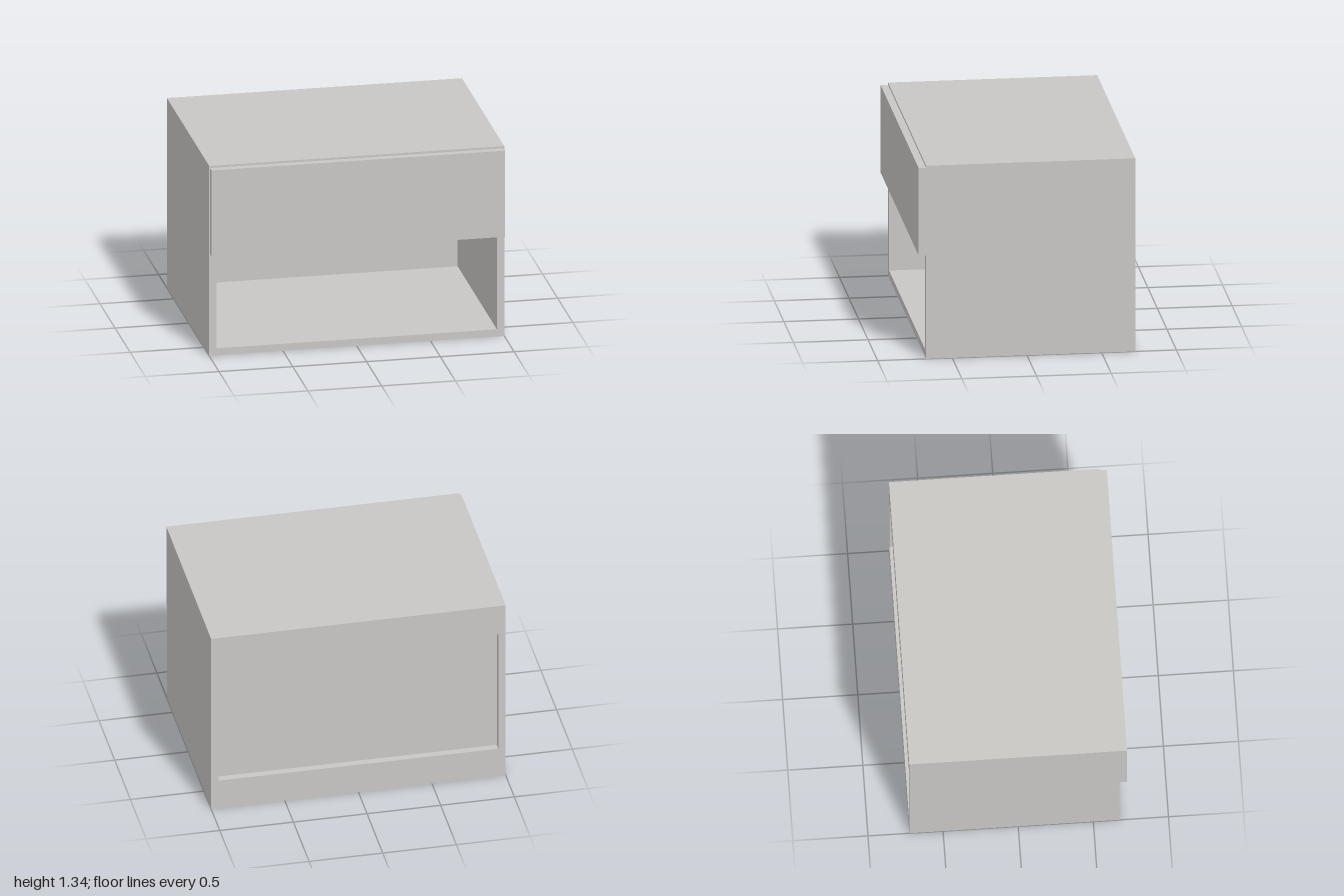
import * as THREE from 'three';

export function createModel() {
  const group = new THREE.Group();
  const board = new THREE.MeshStandardMaterial({ color: 0xc9c7c4 });
  board.name = 'warm grey board';

  // Adds a board spanning the given ranges on each axis
  const add = (name, [x0, x1], [y0, y1], [z0, z1]) => {
    const mesh = new THREE.Mesh(new THREE.BoxGeometry(x1 - x0, y1 - y0, z1 - z0), board);
    mesh.position.set((x0 + x1) / 2, (y0 + y1) / 2, (z0 + z1) / 2);
    mesh.name = name;
    group.add(mesh);
  };

  const T = 0.05, H = 1.335, back = -0.725, front = 0.675;
  const inner = [-1 + T, 1 - T], depth = [back, front];

  // Carcass
  add('leftSide', [1 - T, 1], [0, H], depth);
  add('rightSide', [-1, -1 + T], [0, H], depth);
  add('bottomBoard', inner, [0, T], depth);
  add('topBoard', inner, [H - T, H], depth);

  // Shelf between the open bay and the drawer
  add('shelf', inner, [0.71, 0.71 + T], [back + 2 * T, front]);

  // Back rails with the panel set in behind them
  add('lowerBackRail', inner, [T, 0.215], [back, back + T]);
  add('upperBackRail', inner, [1.115, H - T], [back, back + T]);
  add('backPanel', inner, [T, H - T], [back + T, back + 2 * T]);

  // Overlaid drawer front
  add('drawerFront', [-0.995, 0.995], [0.715, 1.32], [front, front + T]);

  return group;
}
